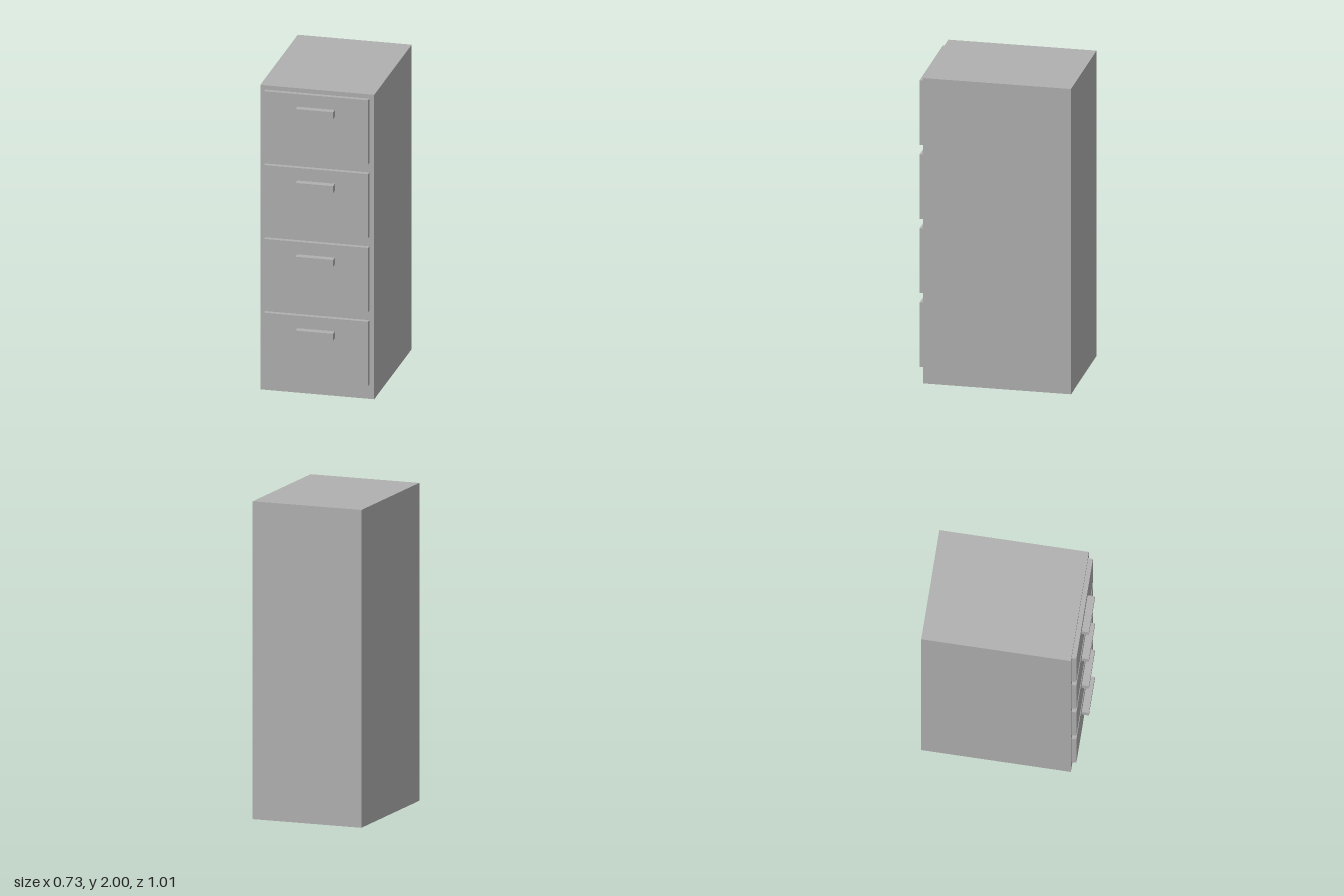
import * as THREE from 'three';

export function createModel() {
  const group = new THREE.Group();
  group.name = 'filingCabinet';

  const greyMetal = new THREE.MeshStandardMaterial({ color: 0xb0b0b0 });
  greyMetal.name = 'greyMetal';

  // Box spanning a depth range, centred on x = 0
  function addBox(parent, name, width, height, y, zBack, zFront) {
    const geometry = new THREE.BoxGeometry(width, height, zFront - zBack);
    const mesh = new THREE.Mesh(geometry, greyMetal);
    mesh.name = name;
    mesh.position.set(0, y, (zBack + zFront) / 2);
    parent.add(mesh);
  }

  // Cabinet body
  addBox(group, 'cabinetBody', 0.726, 2, 1, -0.505, 0.43);

  // Four drawers, each a raised front with a bar handle
  for (let i = 0; i < 4; i++) {
    const drawer = new THREE.Group();
    drawer.name = `drawer${i + 1}`;
    drawer.position.y = 0.306 + i * 0.485;
    addBox(drawer, 'drawerFront', 0.664, 0.422, 0, 0.43, 0.46);
    addBox(drawer, 'drawerHandle', 0.24, 0.045, 0.106, 0.46, 0.505);
    group.add(drawer);
  }

  return group;
}
